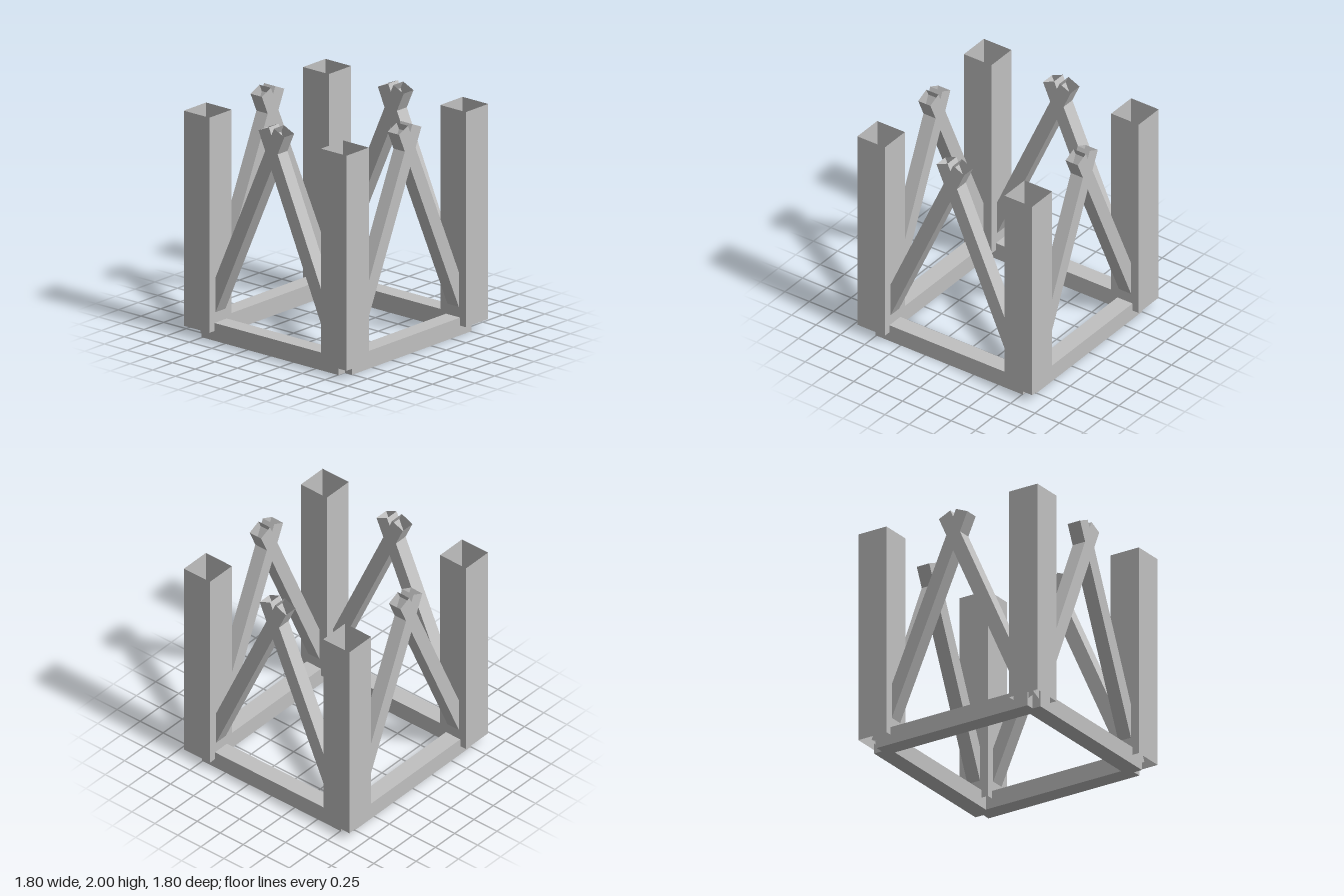
import * as THREE from 'three';

const OFFSET = 0.757; // distance of every post, beam and brace line from the centre

// Square tube along y with thin walls and both ends open
function openTube(width, length) {
  const geo = new THREE.BoxGeometry(width, length, width);
  const index = Array.from(geo.index.array);
  index.splice(12, 12); // drop the top and bottom faces
  geo.setIndex(index);
  geo.clearGroups();
  return geo;
}

export function createModel() {
  const model = new THREE.Group();
  model.name = 'timberFrame';
  const grey = new THREE.MeshStandardMaterial({ color: 0xc0c0c0, side: THREE.DoubleSide });
  grey.name = 'grey';

  const add = (parent, name, geo, x, y, z) => {
    const mesh = new THREE.Mesh(geo, grey);
    mesh.name = name;
    mesh.position.set(x, y, z);
    parent.add(mesh);
    return mesh;
  };

  // Shared shapes
  const postGeo = openTube(0.283, 1.89);
  const beamGeo = new THREE.BoxGeometry(2 * OFFSET, 0.156, 0.156);
  const above = 0.21, below = 1.87; // brace reach on each side of the crossing
  const braceGeo = openTube(0.125, above + below);
  braceGeo.translate(0, (above - below) / 2, 0);
  const tilt = THREE.MathUtils.degToRad(24);

  // One side per quarter turn: a beam, a crossed pair of braces and a corner post
  ['front', 'left', 'back', 'right'].forEach((sideName, i) => {
    const side = new THREE.Group();
    side.name = sideName + 'Side';
    side.rotation.y = i * Math.PI / 2;
    add(side, 'baseBeam', beamGeo, 0, 0.078, OFFSET);
    add(side, 'cornerPost', postGeo, OFFSET, 1.03, OFFSET);
    for (const s of [-1, 1]) {
      const brace = add(side, s < 0 ? 'rightBrace' : 'leftBrace', braceGeo, 0, 1.783, OFFSET);
      brace.rotation.z = s * tilt;
    }
    model.add(side);
  });

  return model;
}
